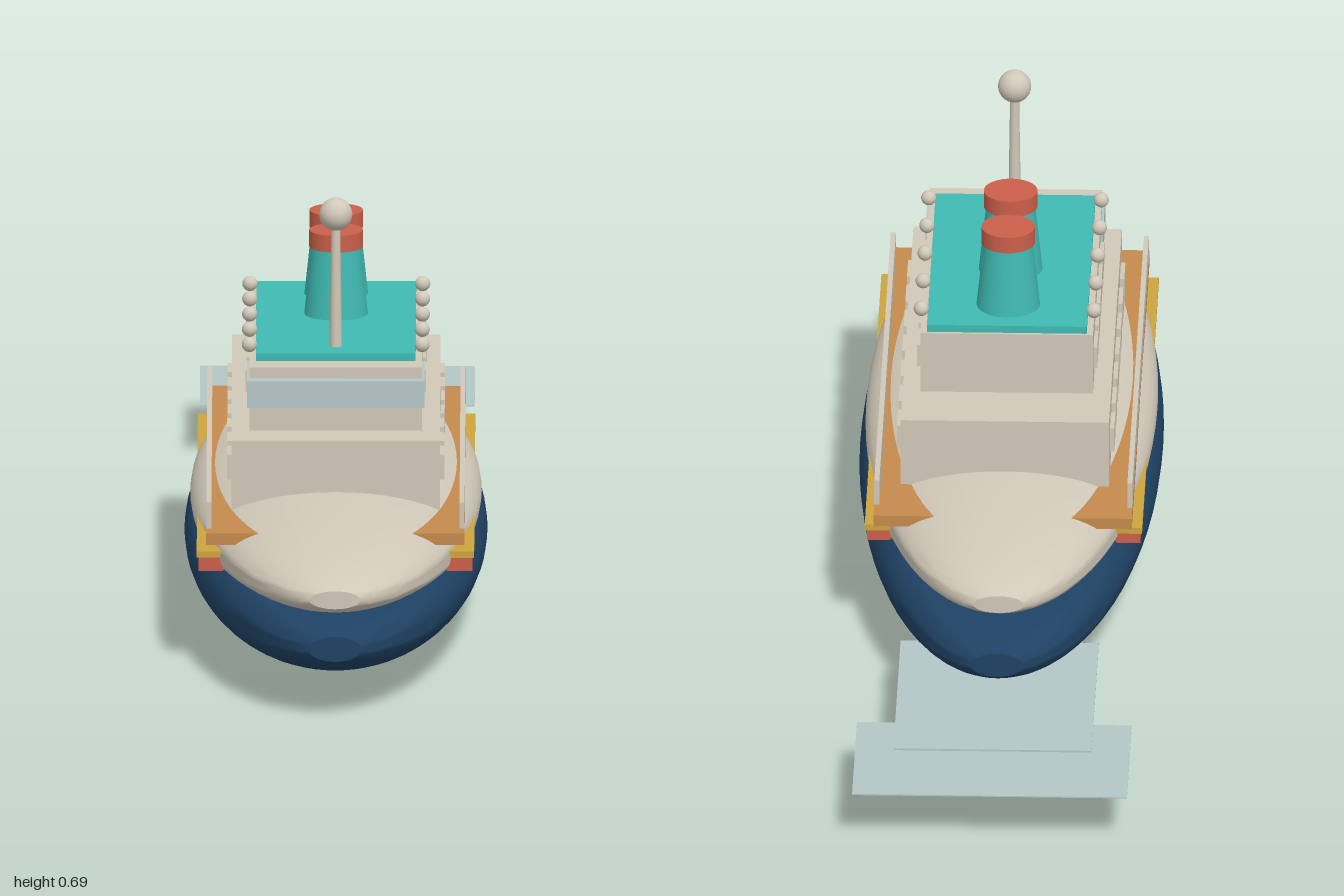
import * as THREE from 'three';
import { toCreasedNormals } from 'three/addons/utils/BufferGeometryUtils.js';

const paint = (name, color, side = THREE.FrontSide) => {
  const m = new THREE.MeshStandardMaterial({ color, side });
  m.name = name;
  return m;
};

export function createModel() {
  const ship = new THREE.Group();
  ship.name = 'ship';
  const navy = paint('navy', 0x1f4264);
  const cream = paint('cream', 0xd0c8b8);
  const teal = paint('teal', 0x3fbab2);
  const red = paint('red', 0xcb5f4b);
  const orange = paint('orange', 0xc48a4c);
  const gold = paint('gold', 0xcda53e);
  const glass = paint('pale glass', 0xb4c6c6, THREE.DoubleSide);

  const add = (name, geometry, material, x = 0, y = 0, z = 0) => {
    const mesh = new THREE.Mesh(geometry, material);
    mesh.name = name;
    mesh.position.set(x, y, z);
    ship.add(mesh);
    return mesh;
  };
  // Box given by its limits on each axis
  const box = (name, material, x0, x1, y0, y1, z0, z1) =>
    add(name, new THREE.BoxGeometry(x1 - x0, y1 - y0, z1 - z0), material,
      (x0 + x1) / 2, (y0 + y1) / 2, (z0 + z1) / 2);

  // Long ellipsoid with blunt ends and an optional height limit along its length
  const body = (rx, ry, rz, limit = () => Infinity) => {
    const g = new THREE.SphereGeometry(1, 48, 36).rotateX(Math.PI / 2);
    const p = g.attributes.position;
    const blunt = Math.cos(0.175);
    for (let i = 0; i < p.count; i++) {
      const t = THREE.MathUtils.clamp(p.getZ(i) / blunt, -1, 1);
      p.setXYZ(i, p.getX(i) * rx, Math.min(p.getY(i) * ry, limit(t)), t * rz);
    }
    return toCreasedNormals(g, 0.7);
  };

  // Hull and rounded main deck
  add('hull', body(0.237, 0.115, 0.8, t => 0.049 - 0.027 * t ** 6), navy, 0, 0.115, 0.2);
  add('mainDeck', body(0.228, 0.083, 0.72), cream, 0, 0.177, 0.21);

  // Side ledges that emerge from the deck near bow and stern
  box('redLedge', red, -0.214, 0.214, 0.157, 0.178, -0.24, 0.655);
  box('goldLedge', gold, -0.217, 0.217, 0.178, 0.188, -0.25, 0.655);
  box('orangeWalkway', orange, -0.202, 0.202, 0.205, 0.223, -0.29, 0.68);

  // Superstructure
  box('lowerCabin', cream, -0.163, 0.163, 0.2, 0.334, -0.175, 0.525);
  box('upperCabin', cream, -0.135, 0.135, 0.334, 0.435, -0.07, 0.455);
  box('bridgeWindow', glass, -0.139, 0.139, 0.375, 0.418, 0.34, 0.476);
  box('roof', teal, -0.125, 0.125, 0.435, 0.447, -0.065, 0.41);

  for (const s of [-1, 1]) {
    box('sideRail', cream, s * 0.198 - 0.004, s * 0.198 + 0.004, 0.223, 0.265, -0.25, 0.645);
    for (let i = 0; i < 7; i++)
      add('lowerWindow', new THREE.BoxGeometry(0.007, 0.04, 0.06), cream, s * 0.1665, 0.28, -0.095 + i * 0.09);
    for (let i = 0; i < 5; i++)
      add('upperWindow', new THREE.BoxGeometry(0.006, 0.036, 0.06), cream, s * 0.138, 0.384, -0.015 + i * 0.08);
    // Deck lamps along the roof edge
    for (let i = 0; i < 5; i++)
      add('roofLamp', new THREE.SphereGeometry(0.012, 16, 12), cream, s * 0.135, 0.454, -0.02 + i * 0.1);
  }

  // Funnels with red caps
  for (const z of [0.015, 0.145]) {
    add('funnel', new THREE.CylinderGeometry(0.038, 0.05, 0.112, 32), teal, 0, 0.501, z);
    add('funnelCap', new THREE.CylinderGeometry(0.042, 0.042, 0.027, 32), red, 0, 0.568, z);
  }

  // Mast and its ball
  add('mast', new THREE.CylinderGeometry(0.007, 0.01, 0.2, 16), cream, 0, 0.545, 0.36);
  add('mastBall', new THREE.SphereGeometry(0.026, 24, 16), cream, 0, 0.659, 0.36);

  // Flat wake sheets trailing behind the stern
  box('innerWake', glass, -0.155, 0.155, 0.081, 0.084, -0.84, -0.45);
  box('outerWake', glass, -0.215, 0.215, 0.079, 0.081, -1, -0.74);
  return ship;
}
